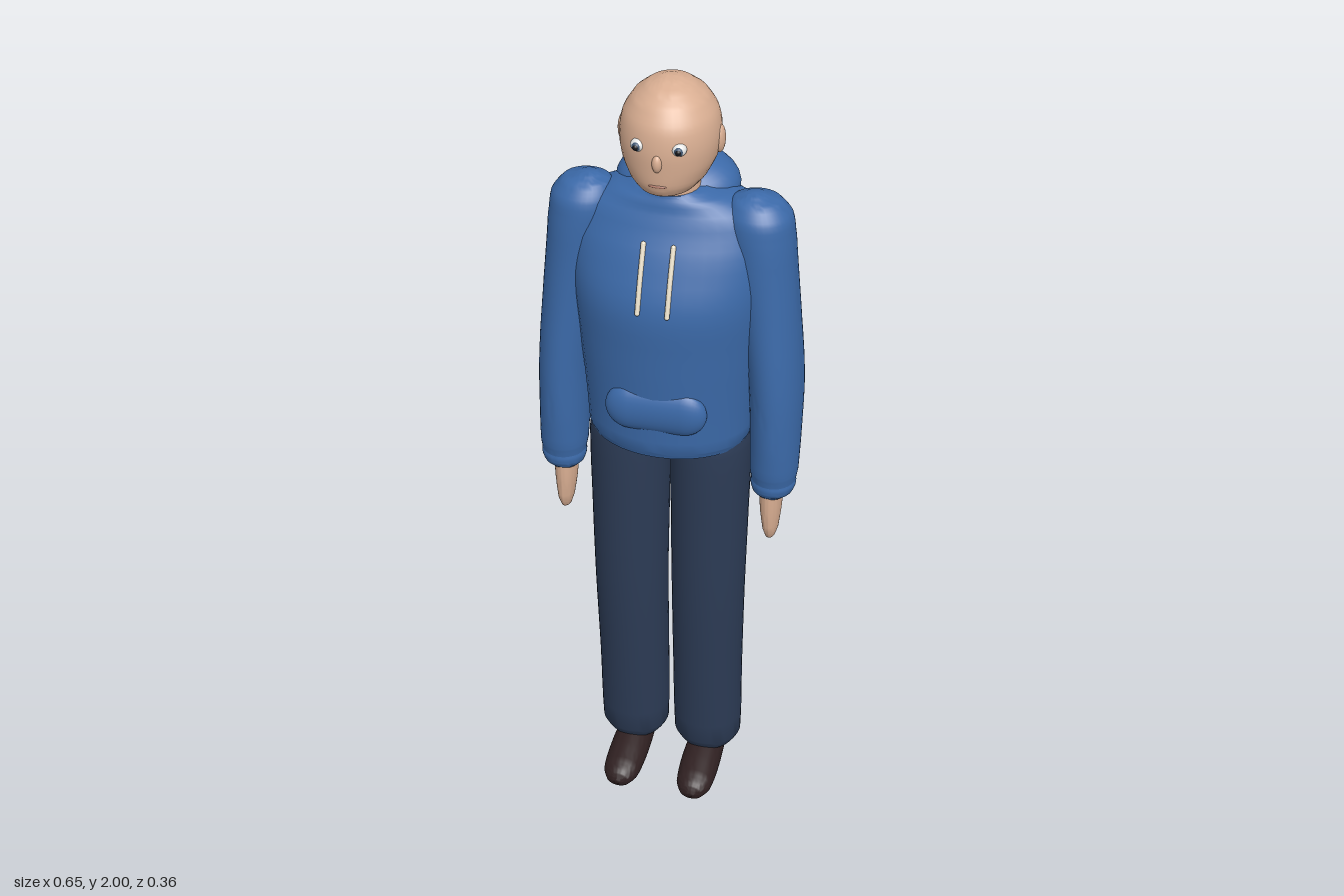
import * as THREE from 'three';
import { toCreasedNormals } from 'three/addons/utils/BufferGeometryUtils.js';

const paint = (name, color) => {
  const m = new THREE.MeshStandardMaterial({ color });
  m.name = name;
  return m;
};

// Smooth body through rings [y, cx, cz, rx, rz], listed bottom to top, closed at both ends.
// backPower below 1 makes the rear half of each ring boxier.
function loft(rings, { sides = 40, steps = 4, backPower = 1 } = {}) {
  const rows = [];
  const at = (i) => rings[Math.max(0, Math.min(rings.length - 1, i))];
  for (let i = 0; i < rings.length - 1; i++) {
    for (let k = 0; k < steps; k++) {
      const t = k / steps;
      rows.push(rings[i].map((b, j) => {
        const a = at(i - 1)[j], c = at(i + 1)[j], d = at(i + 2)[j];
        if (j === 0) return b + (c - b) * t;
        return b + 0.5 * t * (c - a + t * (2 * a - 5 * b + 4 * c - d + t * (3 * (b - c) + d - a)));
      }));
    }
  }
  rows.push(rings[rings.length - 1]);
  const pos = [], index = [];
  for (const [y, cx, cz, rx, rz] of rows) {
    for (let k = 0; k < sides; k++) {
      const a = (k / sides) * Math.PI * 2, s = Math.sin(a), c = Math.cos(a);
      const p = c < 0 ? backPower : 1;
      pos.push(cx + rx * Math.sign(s) * Math.abs(s) ** p, y, cz + rz * Math.sign(c) * Math.abs(c) ** p);
    }
  }
  const n = rows.length, bottom = n * sides, top = bottom + 1;
  for (const r of [rows[0], rows[n - 1]]) pos.push(r[1], r[0], r[2]);
  for (let k = 0; k < sides; k++) {
    const q = (k + 1) % sides;
    for (let i = 0; i < n - 1; i++) {
      const a = i * sides + k, b = i * sides + q;
      index.push(a, b, a + sides, b, b + sides, a + sides);
    }
    index.push(bottom, q, k, top, (n - 1) * sides + k, (n - 1) * sides + q);
  }
  const g = new THREE.BufferGeometry();
  g.setAttribute('position', new THREE.Float32BufferAttribute(pos, 3));
  g.setIndex(index);
  return toCreasedNormals(g, 1);
}

export function createModel() {
  const skin = paint('skin', 0xd9ae92);
  const blue = paint('hoodieBlue', 0x3b69a8);
  const navy = paint('trouserNavy', 0x2c3b55);
  const brown = paint('shoeBrown', 0x2f2021);
  const cream = paint('cordCream', 0xe6dcc6);
  const white = paint('eyeWhite', 0xf0f0ee);
  const irisBlue = paint('irisBlue', 0x3c5470);
  const black = paint('pupilBlack', 0x15151a);
  const lip = paint('lipRose', 0xb37d6c);

  const model = new THREE.Group();
  model.name = 'standingFigure';
  const add = (name, geometry, material) => {
    const mesh = new THREE.Mesh(geometry, material);
    mesh.name = name;
    model.add(mesh);
    return mesh;
  };
  const ball = (name, material, [x, y, z], [rx, ry, rz]) => {
    const mesh = add(name, new THREE.SphereGeometry(1, 32, 20), material);
    mesh.position.set(x, y, z);
    mesh.scale.set(rx, ry, rz);
    return mesh;
  };

  // Head and neck
  add('head', loft([
    [1.738, 0, 0.03, 0.012, 0.015], [1.744, 0, 0.028, 0.042, 0.055], [1.757, 0, 0.02, 0.068, 0.085],
    [1.78, 0, 0.01, 0.089, 0.107], [1.82, 0, 0.001, 0.108, 0.12], [1.87, 0, -0.004, 0.115, 0.126],
    [1.92, 0, -0.005, 0.107, 0.117], [1.96, 0, -0.005, 0.083, 0.091], [1.985, 0, -0.005, 0.053, 0.058],
    [1.997, 0, -0.005, 0.024, 0.026], [2.0, 0, -0.005, 0.004, 0.004],
  ]), skin);
  const neck = add('neck', new THREE.CylinderGeometry(0.068, 0.072, 0.11, 32), skin);
  neck.position.set(0, 1.735, -0.005);
  ball('nose', skin, [0, 1.845, 0.118], [0.012, 0.022, 0.014]);
  ball('mouth', lip, [0, 1.786, 0.116], [0.021, 0.004, 0.004]);

  // Hoodie body, hood and front pocket
  add('hoodieBody', loft([
    [1.067, 0, 0, 0.19, 0.143], [1.085, 0, 0, 0.198, 0.15], [1.2, 0, 0.002, 0.205, 0.154],
    [1.35, 0, 0.005, 0.218, 0.159], [1.48, 0, 0.006, 0.23, 0.16], [1.6, 0, -0.01, 0.235, 0.133],
    [1.68, 0, -0.02, 0.21, 0.105], [1.718, 0, -0.015, 0.14, 0.087], [1.735, 0, -0.01, 0.085, 0.076],
  ], { backPower: 0.75 }), blue);
  const hood = ball('hood', blue, [0, 1.706, -0.073], [0.146, 0.077, 0.106]);
  hood.rotation.x = 0.25;
  const pocket = add('frontPocket', new THREE.CapsuleGeometry(0.06, 0.125, 10, 28), blue);
  pocket.geometry.rotateZ(Math.PI / 2).scale(1, 1, 0.5);
  pocket.position.set(0, 1.2, 0.136);

  add('trouserSeat', new THREE.SphereGeometry(1, 32, 20).scale(0.17, 0.09, 0.1), navy)
    .position.set(0, 1.08, -0.003);

  for (const [side, s] of [['left', 1], ['right', -1]]) {
    const limb = (name, rings, material) =>
      add(side + name, loft(rings.map(([y, x, ...rest]) => [y, s * x, ...rest])), material);

    // Face details
    ball(side + 'Ear', skin, [s * 0.112, 1.857, -0.01], [0.012, 0.034, 0.02]);
    ball(side + 'Eye', white, [s * 0.047, 1.88, 0.105], [0.017, 0.015, 0.017]);
    ball(side + 'Iris', irisBlue, [s * 0.048, 1.88, 0.114], [0.011, 0.011, 0.0105]);
    ball(side + 'Pupil', black, [s * 0.0485, 1.88, 0.12], [0.007, 0.007, 0.0065]);

    // Drawstring
    const cord = new THREE.CatmullRomCurve3([
      new THREE.Vector3(s * 0.035, 1.63, 0.109), new THREE.Vector3(s * 0.035, 1.55, 0.143),
      new THREE.Vector3(s * 0.035, 1.48, 0.168),
    ]);
    add(side + 'Drawstring', new THREE.TubeGeometry(cord, 16, 0.006, 10), cream);
    for (const p of [cord.getPoint(0), cord.getPoint(1)]) {
      ball(side + 'DrawstringTip', cream, p.toArray(), [0.006, 0.006, 0.006]);
    }

    // Sleeve, cuff and hand
    limb('Sleeve', [
      [0.975, 0.262, 0.021, 0.054, 0.057], [1.0, 0.262, 0.018, 0.058, 0.065], [1.1, 0.261, 0.006, 0.061, 0.083],
      [1.25, 0.256, -0.007, 0.065, 0.096], [1.45, 0.235, -0.009, 0.071, 0.088], [1.62, 0.213, -0.01, 0.079, 0.082],
      [1.68, 0.206, -0.01, 0.077, 0.074], [1.715, 0.2, -0.01, 0.056, 0.05], [1.73, 0.195, -0.01, 0.02, 0.02],
    ], blue);
    limb('Cuff', [
      [0.934, 0.26, 0.025, 0.038, 0.04], [0.945, 0.261, 0.025, 0.049, 0.05],
      [0.965, 0.262, 0.023, 0.055, 0.056], [0.985, 0.262, 0.02, 0.052, 0.056],
    ], blue);
    limb('Hand', [
      [0.8, 0.259, 0.028, 0.004, 0.008], [0.807, 0.259, 0.028, 0.012, 0.021], [0.83, 0.259, 0.027, 0.019, 0.033],
      [0.89, 0.258, 0.024, 0.026, 0.042], [0.95, 0.258, 0.022, 0.028, 0.045],
    ], skin);

    // Trouser leg
    limb('TrouserLeg', [
      [0.067, 0.097, -0.015, 0.035, 0.035], [0.077, 0.097, -0.015, 0.066, 0.061], [0.11, 0.097, -0.015, 0.086, 0.079],
      [0.35, 0.097, -0.007, 0.089, 0.087], [0.6, 0.099, 0.004, 0.092, 0.09], [0.85, 0.1, 0.001, 0.096, 0.098],
      [1.05, 0.101, -0.004, 0.098, 0.105], [1.1, 0.1, -0.004, 0.09, 0.1],
    ], navy);

    // Shoe, shaped from heel to toe
    const shoe = limb('Shoe', [
      [-0.085, 0.096, -0.045, 0.014, 0.014], [-0.065, 0.096, -0.045, 0.04, 0.04], [0, 0.096, -0.048, 0.048, 0.048],
      [0.08, 0.097, -0.041, 0.05, 0.041], [0.14, 0.098, -0.034, 0.045, 0.033], [0.168, 0.098, -0.031, 0.03, 0.022],
      [0.178, 0.098, -0.03, 0.009, 0.007],
    ], brown);
    shoe.geometry.rotateX(Math.PI / 2);
  }
  return model;
}
